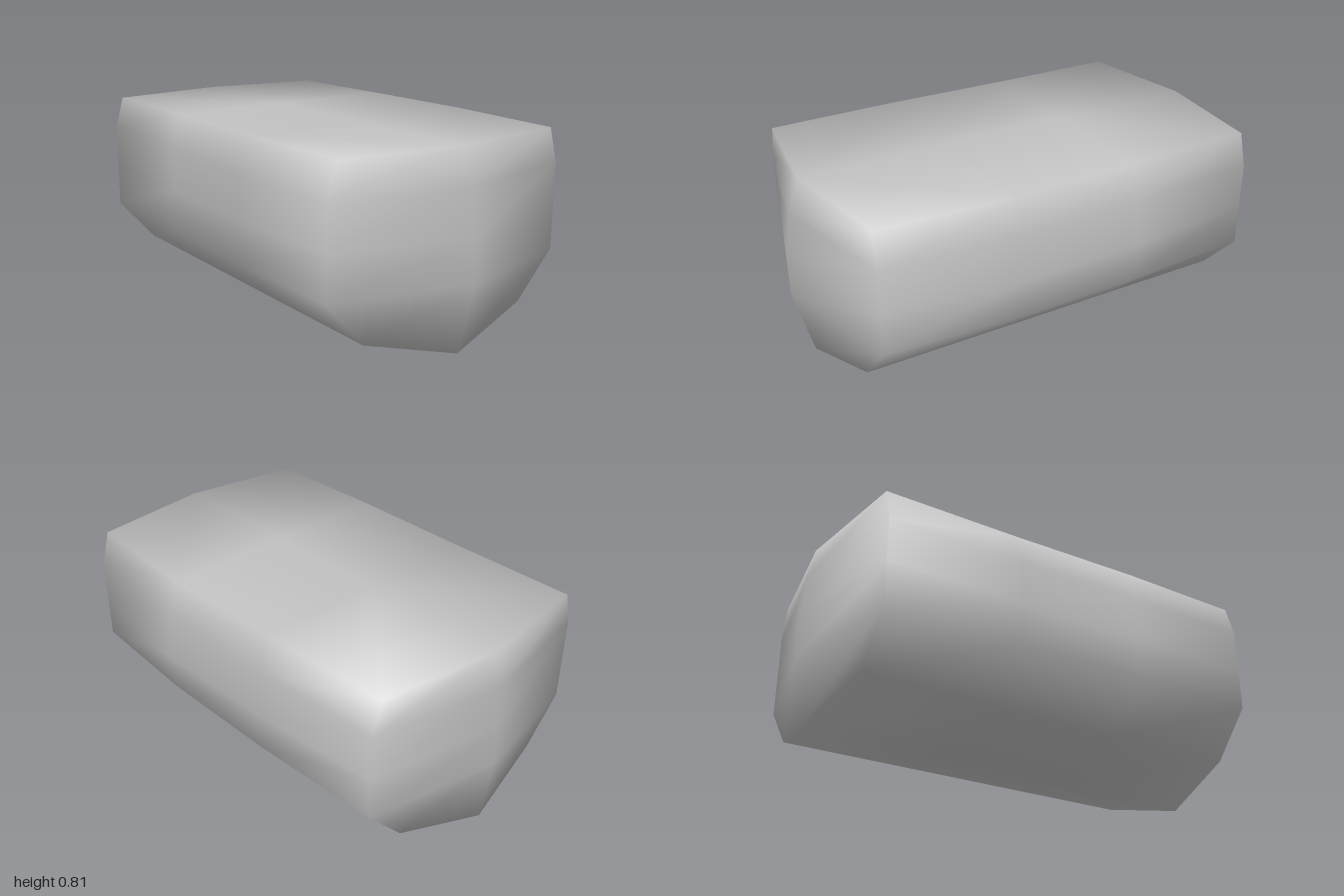
import * as THREE from 'three';

// plan columns, from the +x end to the -x end
const COLUMNS = [0.845, 0.27, -0.3, -0.885];
const RIDGE_Z = 0.03;

// levels from bottom to top: height, the two end points, back and front edges per column
const LEVELS = [
  { y: 0.105, endY: 0, ends: [0.92, -0.96], back: [-0.37, -0.37, -0.37, -0.37], front: [0.43, 0.43, 0.43, 0.43] },
  { y: 0.3, ends: [1, -1], back: [-0.55, -0.585, -0.58, -0.55], front: [0.6, 0.615, 0.6, 0.6] },
  { y: 0.48, ends: [1, -1], back: [-0.55, -0.615, -0.6, -0.55], front: [0.6, 0.615, 0.6, 0.6] },
  { y: 0.67, ends: [0.97, -0.99], back: [-0.55, -0.585, -0.58, -0.55], front: [0.6, 0.615, 0.6, 0.6] },
  { y: 0.815, ends: [0.92, -0.96], back: [-0.51, -0.545, -0.535, -0.51], front: [0.56, 0.57, 0.56, 0.56] },
];
const RING = 10;

function blockGeometry() {
  const points = [];
  const quads = [];
  const add = (x, y, z) => points.push(new THREE.Vector3(x, y, z)) - 1;

  // rings: +x end, back edge, -x end, front edge
  for (const { y, endY = y, ends, back, front } of LEVELS) {
    add(ends[0], endY, RIDGE_Z);
    COLUMNS.forEach((x, i) => add(x, y, back[i]));
    add(ends[1], endY, RIDGE_Z);
    for (let i = 3; i >= 0; i--) add(COLUMNS[i], y, front[i]);
  }

  // side walls
  for (let l = 0; l < LEVELS.length - 1; l++) {
    for (let i = 0; i < RING; i++) {
      const a = l * RING + i;
      const b = l * RING + ((i + 1) % RING);
      quads.push([a, b, b + RING, a + RING]);
    }
  }

  // flat top and keeled bottom, each with two points along the middle ridge
  const cap = (base, heights, flip) => {
    const m = heights.map((y, i) => add(COLUMNS[i + 1], y, RIDGE_Z));
    const ridge = [base, m[0], m[1], base + 5];
    for (let i = 0; i < 3; i++) {
      const back = [ridge[i], base + 1 + i, base + 2 + i, ridge[i + 1]];
      const front = [ridge[i], ridge[i + 1], base + 8 - i, base + 9 - i];
      for (const q of [back, front]) quads.push(flip ? q.reverse() : q);
    }
  };
  cap((LEVELS.length - 1) * RING, [0.815, 0.815], false);
  cap(0, [0.015, 0.035], true);

  // smooth normals: every neighbouring panel counts equally
  const normals = points.map(() => new THREE.Vector3());
  const index = [];
  for (const [a, b, c, d] of quads) {
    const p = points[c].clone().sub(points[a]);
    const q = points[d].clone().sub(points[b]);
    const n = p.cross(q).normalize();
    for (const i of [a, b, c, d]) normals[i].add(n);
    index.push(a, b, c, a, c, d);
  }
  normals.forEach((n) => n.normalize());

  const flat = (list) => new THREE.Float32BufferAttribute(list.flatMap((v) => v.toArray()), 3);
  const geometry = new THREE.BufferGeometry();
  geometry.setAttribute('position', flat(points));
  geometry.setAttribute('normal', flat(normals));
  geometry.setIndex(index);
  return geometry;
}

export function createModel() {
  const group = new THREE.Group();
  group.name = 'roundedBlock';
  const grey = new THREE.MeshStandardMaterial({ color: 0xc0c0c0 });
  grey.name = 'lightGrey';
  const block = new THREE.Mesh(blockGeometry(), grey);
  block.name = 'block';
  group.add(block);
  return group;
}
